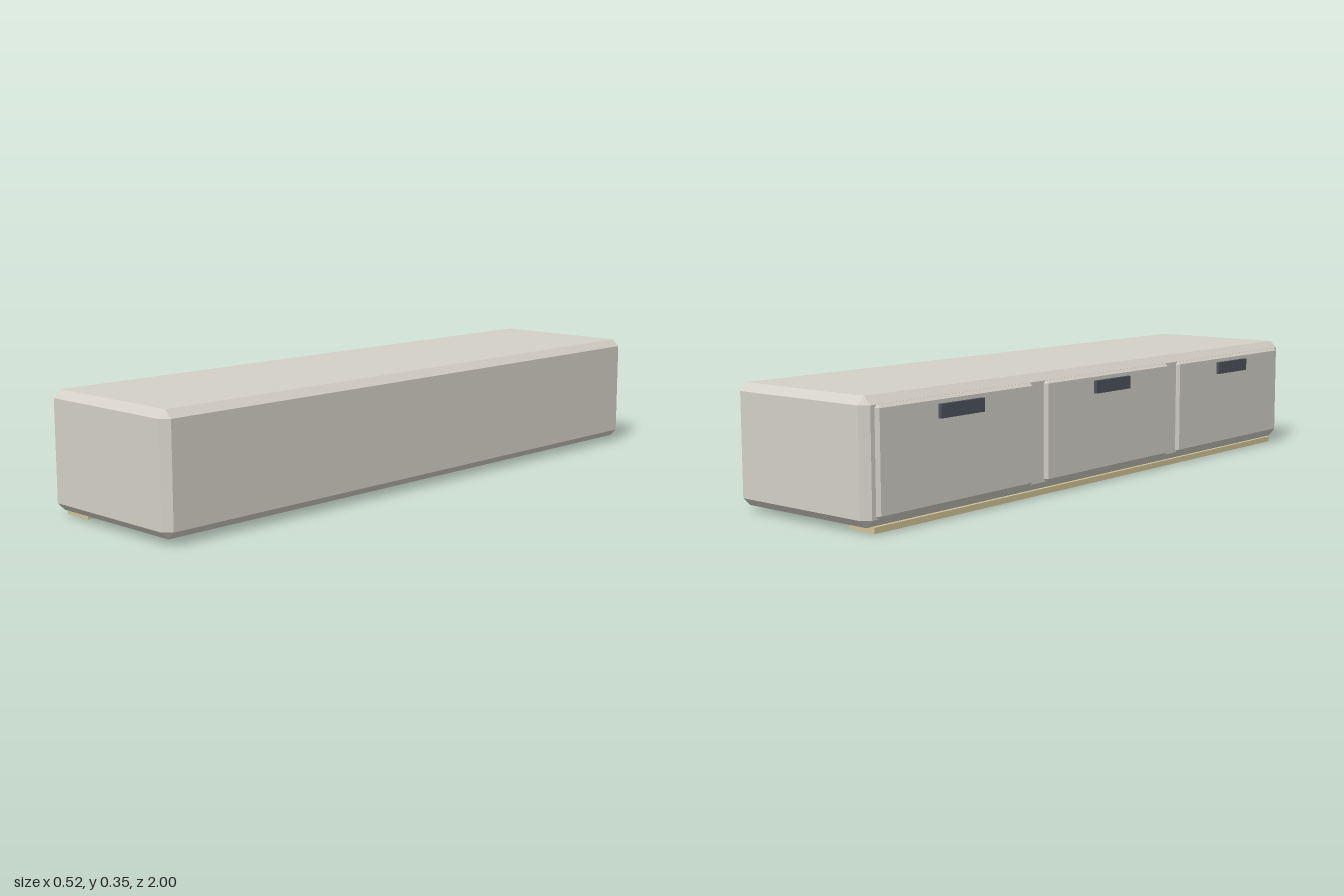
import * as THREE from 'three';
import { ConvexGeometry } from 'three/addons/geometries/ConvexGeometry.js';

// Box with every edge and corner cut by c
function chamferBox(w, h, d, c) {
  const points = [];
  for (const x of [-1, 1]) for (const y of [-1, 1]) for (const z of [-1, 1]) {
    for (let axis = 0; axis < 3; axis++) {
      const inset = [c, c, c];
      inset[axis] = 0;
      points.push(new THREE.Vector3(
        x * (w / 2 - inset[0]), y * (h / 2 - inset[1]), z * (d / 2 - inset[2])));
    }
  }
  return new ConvexGeometry(points);
}

function material(name, color) {
  const m = new THREE.MeshStandardMaterial({ color });
  m.name = name;
  return m;
}

export function createModel() {
  const model = new THREE.Group();
  model.name = 'lowCabinet';
  const grey = material('warmGrey', 0xd4d0c7);
  const slate = material('darkSlate', 0x4e545d);
  const tan = material('tan', 0xd0c496);

  // Place a part by its lower and upper limits on each axis
  function add(name, mat, [x0, x1], [y0, y1], [z0, z1], chamfer = 0) {
    const size = [x1 - x0, y1 - y0, z1 - z0];
    const geometry = chamfer ? chamferBox(...size, chamfer) : new THREE.BoxGeometry(...size);
    const mesh = new THREE.Mesh(geometry, mat);
    mesh.name = name;
    mesh.position.set((x0 + x1) / 2, (y0 + y1) / 2, (z0 + z1) / 2);
    model.add(mesh);
  }

  // Body and the strip beneath its drawer side
  add('cabinetBody', grey, [-0.24, 0.261], [0.017, 0.354], [-1, 1], 0.022);
  add('baseStrip', tan, [-0.229, -0.136], [0, 0.017], [-0.96, 0.96]);

  // Three drawer fronts with their handles
  ['back', 'middle', 'front'].forEach((place, i) => {
    const z = (i - 1) * 0.662;
    add(place + 'Drawer', grey, [-0.252, -0.234], [0.04, 0.332], [z - 0.304, z + 0.304], 0.008);
    add(place + 'Handle', slate, [-0.263, -0.251], [0.275, 0.313], [z - 0.084, z + 0.084]);
  });

  return model;
}
